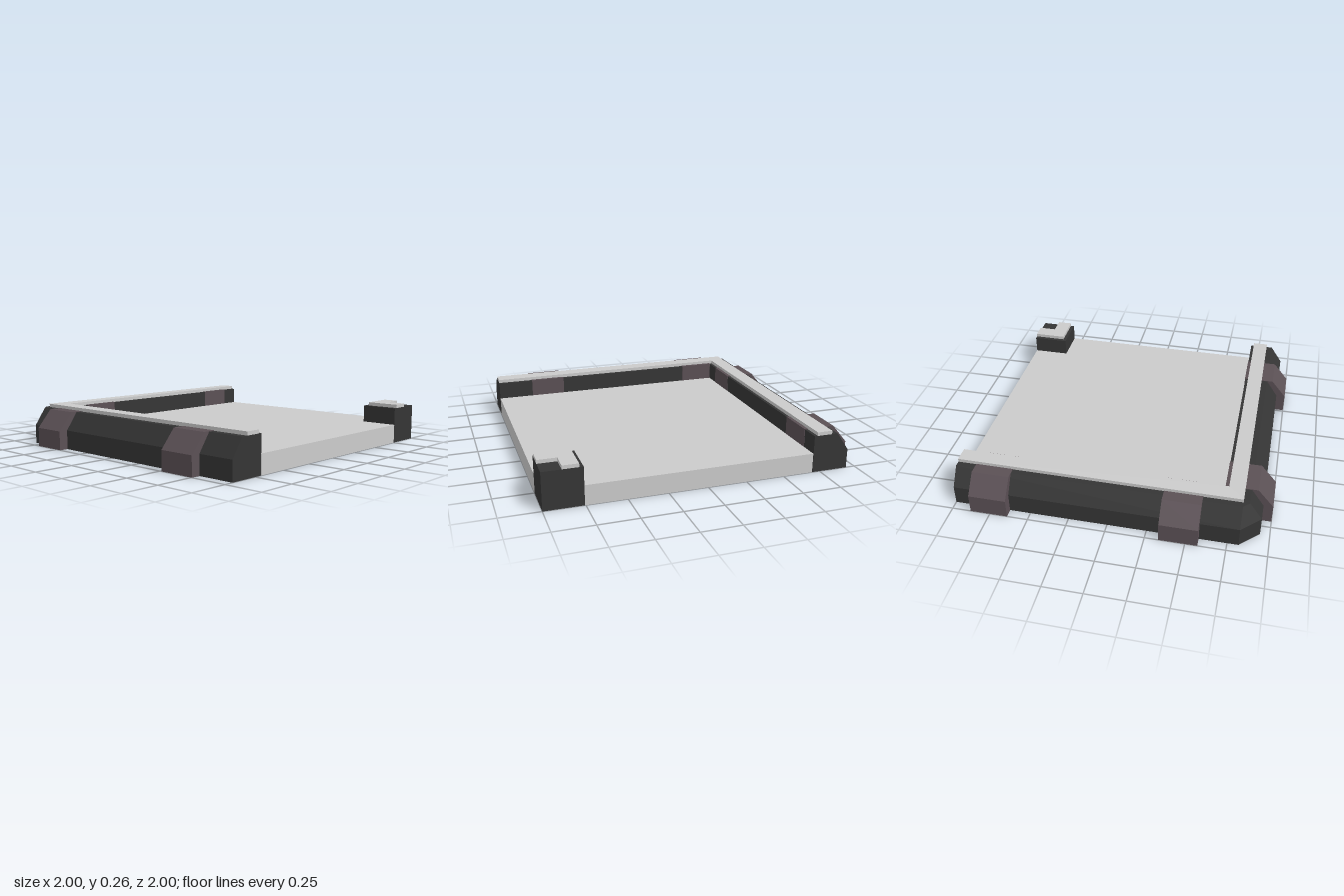
import * as THREE from 'three';

const TOP = 0.24, INNER = 0.7, END = 1, CORNER = 0.82;

// Flat-faced shell swept through convex profiles, capped at both ends and open underneath
function shell(sections) {
  const pos = [];
  const tri = (...pts) => pts.forEach((p) => pos.push(...p));
  for (let i = 0; i + 1 < sections.length; i++) {
    const s = sections[i], t = sections[i + 1];
    for (let j = 0; j + 1 < s.length; j++) {
      tri(s[j], s[j + 1], t[j + 1]);
      tri(s[j], t[j + 1], t[j]);
    }
  }
  const first = sections[0], last = sections[sections.length - 1];
  for (let j = 1; j + 1 < first.length; j++) {
    tri(first[0], first[j + 1], first[j]);
    tri(last[0], last[j], last[j + 1]);
  }
  const geo = new THREE.BufferGeometry();
  geo.setAttribute('position', new THREE.Float32BufferAttribute(pos, 3));
  geo.computeVertexNormals();
  return geo;
}

// Horizontal slab from an outline of [x, z] points
function slab(outline, y0, y1) {
  const shape = new THREE.Shape(outline.map(([x, z]) => new THREE.Vector2(x, -z)));
  const geo = new THREE.ExtrudeGeometry(shape, { depth: y1 - y0, bevelEnabled: false });
  return geo.rotateX(-Math.PI / 2).translate(0, y0, 0);
}

export function createModel() {
  const group = new THREE.Group();
  const material = (name, color) => {
    const m = new THREE.MeshStandardMaterial({ color, side: THREE.DoubleSide });
    m.name = name;
    return m;
  };
  const light = material('lightGrey', 0xcbcbcb);
  const dark = material('darkGrey', 0x353535);
  const brown = material('dullBrown', 0x5b5055);
  const add = (name, geo, mat) => {
    const mesh = new THREE.Mesh(geo, mat);
    mesh.name = name;
    group.add(mesh);
  };

  // Floor with a notch for the corner post
  const f = -0.698, p = 0.755;
  add('floor', slab([[f, f], [END, f], [END, p], [p, p], [p, END], [f, END]], 0, 0.125), light);

  // Profiles as [distance outward, height], from outer foot to inner foot
  const wallProfile = [[0.94, 0], [0.94, 0.125], [0.86, TOP], [INNER, TOP], [INNER, 0]];
  const bracketProfile = [[1, 0], [1, 0.125], [0.9, 0.243], [0.697, 0.243], [0.697, 0]];
  const onLeftRun = (profile, z) => profile.map(([d, y]) => [-d, y, z]);
  const onBackRun = (profile, x) => profile.map(([d, y]) => [x, y, -d]);

  // Wall along two sides, with a chamfered outer corner
  const bend = (d) => -Math.min(d, CORNER);
  add('wall', shell([
    onLeftRun(wallProfile, END),
    wallProfile.map(([d, y]) => [-d, y, bend(d)]),
    wallProfile.map(([d, y]) => [bend(d), y, -d]),
    onBackRun(wallProfile, END),
  ]), dark);
  add('backWallUnderside', slab([[-CORNER, -0.94], [END, -0.94], [END, -INNER], [-INNER, -INNER]], 0, 0.002), dark);

  // Brackets clasping the walls
  for (const [z0, z1] of [[-0.46, -0.698], [0.755, 0.513]])
    add('sideBracket', shell([onLeftRun(bracketProfile, z0), onLeftRun(bracketProfile, z1)]), brown);
  for (const [x0, x1] of [[-0.577, -0.335], [0.635, 0.878]])
    add('backBracket', shell([onBackRun(bracketProfile, x0), onBackRun(bracketProfile, x1)]), brown);

  // Corner post
  add('cornerPost', slab([[p, p], [END, p], [END, END], [p, END]], 0, TOP), dark);

  // L-shaped light caps on the wall and the post
  const cap = (a, b) => slab([[a, a], [END, a], [END, b], [b, b], [b, END], [a, END]], TOP, 0.263);
  add('wallCap', cap(-0.82, -0.72), light);
  add('postCap', cap(0.78, 0.88), light);

  return group;
}
